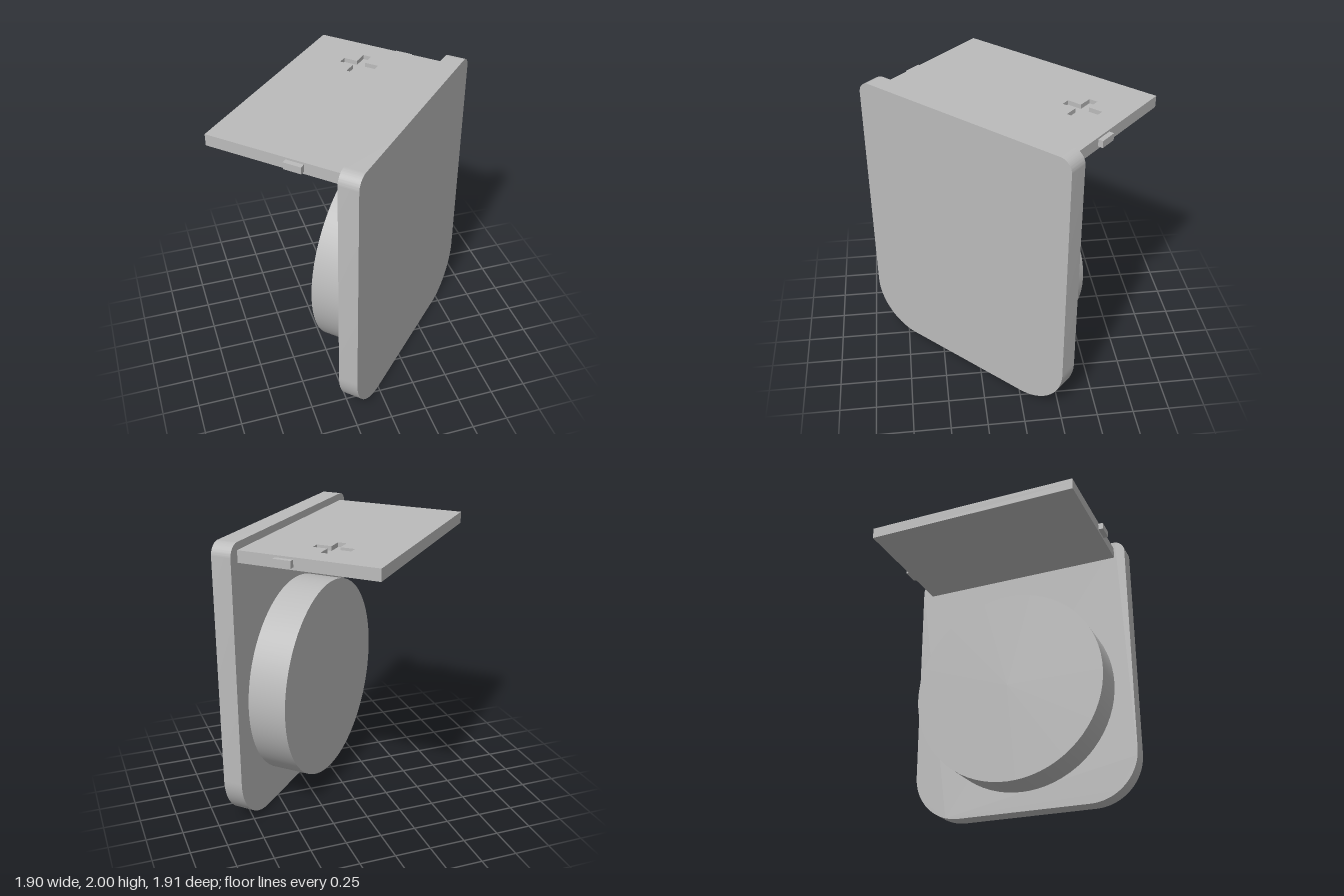
import * as THREE from 'three';
import { toCreasedNormals } from 'three/addons/utils/BufferGeometryUtils.js';

export function createModel() {
  const grey = new THREE.MeshStandardMaterial({ color: 0xbbbbbb });
  grey.name = 'plain grey';
  const model = new THREE.Group();
  model.name = 'panelWithShelf';

  const add = (name, geometry, x, y, z) => {
    const mesh = new THREE.Mesh(geometry, grey);
    mesh.name = name;
    mesh.position.set(x, y, z);
    model.add(mesh);
  };

  // Front panel: small radius at the top corners, large at the bottom
  const w = 0.845, h = 2, top = 0.085, low = 0.35;
  const outline = new THREE.Shape();
  outline.absarc(w - low, low, low, -Math.PI / 2, 0);
  outline.absarc(w - top, h - top, top, 0, Math.PI / 2);
  outline.absarc(-w + top, h - top, top, Math.PI / 2, Math.PI);
  outline.absarc(-w + low, low, low, Math.PI, Math.PI * 1.5);
  outline.closePath();
  const panel = new THREE.ExtrudeGeometry(outline, { depth: 0.137, bevelEnabled: false, curveSegments: 16 });
  add('frontPanel', toCreasedNormals(panel, 0.5), 0, 0, 0.361);

  // Round drum on the back of the panel
  const drum = new THREE.CylinderGeometry(0.71, 0.71, 0.271, 72).rotateX(Math.PI / 2);
  add('backDrum', drum, 0, 0.85, 0.2265);

  // Shelf: solid lower layer, upper layer pierced by a plus-shaped recess
  const sw = 0.764, back = -0.587, front = 0.361, recess = 0.03;
  const shelf = new THREE.Shape([
    [-sw, back], [sw, back], [sw, front], [-sw, front],
  ].map(([x, z]) => new THREE.Vector2(x, z)));
  const a = 0.03, b = 0.129, cx = 0.477, cz = -0.157;
  shelf.holes.push(new THREE.Path([
    [a, a], [a, b], [-a, b], [-a, a], [-b, a], [-b, -a],
    [-a, -a], [-a, -b], [a, -b], [a, -a], [b, -a], [b, a],
  ].map(([x, z]) => new THREE.Vector2(cx + x, cz + z))));
  const upper = new THREE.ExtrudeGeometry(shelf, { depth: recess, bevelEnabled: false }).rotateX(Math.PI / 2);
  add('shelfTop', upper, 0, 1.95, 0);
  add('shelfBase', new THREE.BoxGeometry(2 * sw, 0.08 - recess, front - back), 0, 1.895, (front + back) / 2);

  // Small tab on each end of the shelf
  for (const side of [-1, 1]) {
    add(side < 0 ? 'rightTab' : 'leftTab', new THREE.BoxGeometry(0.05, 0.048, 0.122), side * 0.773, 1.912, 0.039);
  }

  // The whole assembly stands turned about the vertical axis
  model.rotation.y = 0.795;
  return model;
}
